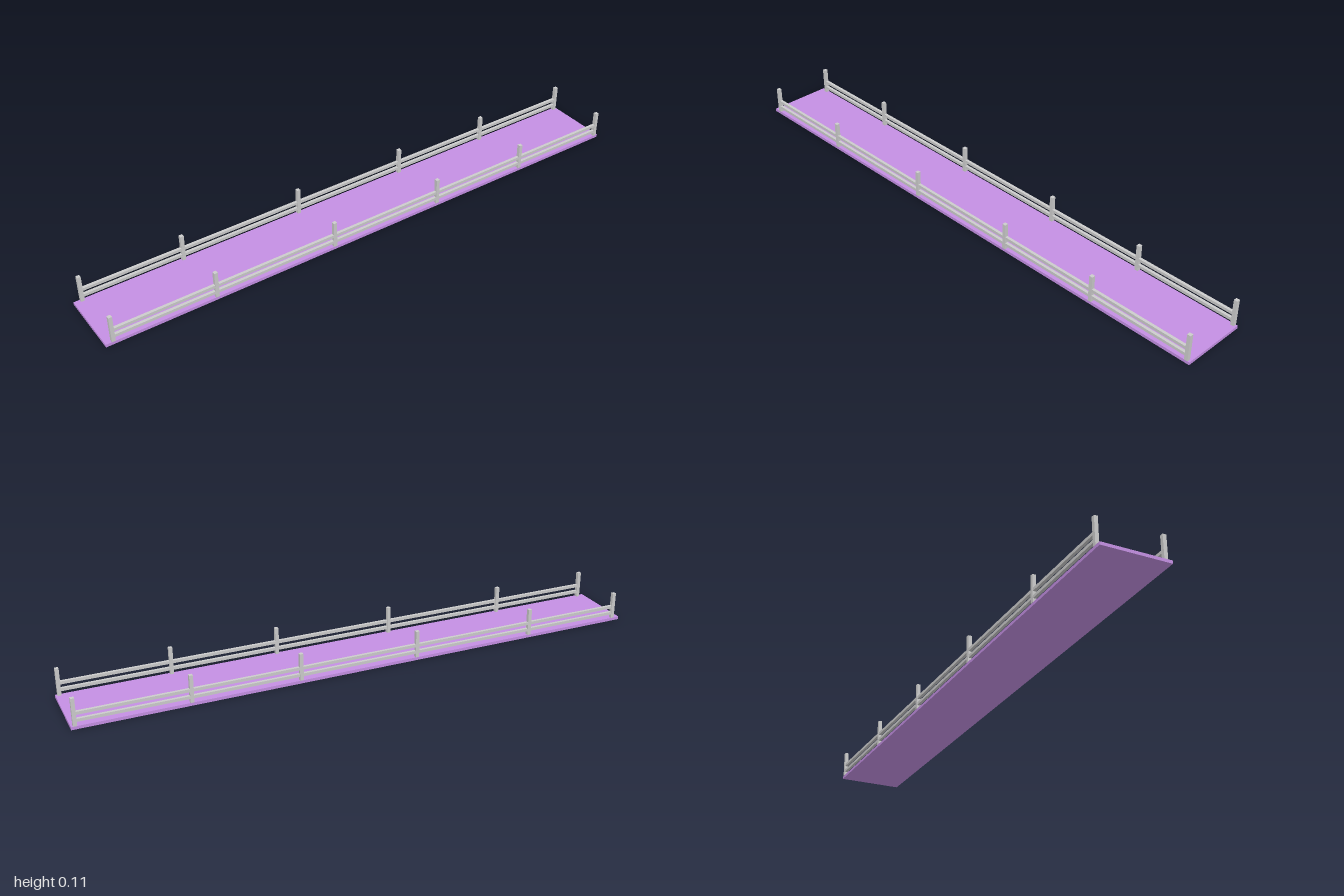
import * as THREE from 'three';

const HEADING = -0.2265;      // the bridge lies askew to the axes
const LENGTH = 2.0, WIDTH = 0.233, DECK = 0.0105;
const POST = 0.0125, POST_TOP = 0.1055;
const SIDE = 0.1108;          // distance of the railings from the centre line
const POSTS = [-0.973, -0.618, -0.176, 0.246, 0.617, 0.987];
const RAILS = [0.0295, 0.0535];

export function createModel() {
  const model = new THREE.Group();
  model.name = 'footbridge';
  const grey = new THREE.MeshStandardMaterial({ color: 0xcccccc });
  const purple = new THREE.MeshStandardMaterial({ color: 0xc48fe3 });

  const box = (parent, name, material, size, position) => {
    const mesh = new THREE.Mesh(new THREE.BoxGeometry(...size), material);
    mesh.name = name;
    mesh.position.set(...position);
    parent.add(mesh);
  };

  const bridge = new THREE.Group();
  bridge.name = 'bridge';
  bridge.rotation.y = HEADING;
  model.add(bridge);

  // Walkway
  box(bridge, 'deck', purple, [LENGTH, DECK, WIDTH], [0, DECK / 2, 0]);

  // A railing along each edge: six posts joined by two rails
  const first = POSTS[0], last = POSTS[POSTS.length - 1];
  for (const side of [-1, 1]) {
    const railing = new THREE.Group();
    railing.name = side > 0 ? 'frontRailing' : 'backRailing';
    railing.position.z = side * SIDE;
    bridge.add(railing);

    const height = POST_TOP - DECK;
    for (const x of POSTS) box(railing, 'post', grey, [POST, height, POST], [x, DECK + height / 2, 0]);
    for (const y of RAILS) box(railing, 'rail', grey, [last - first, 0.0102, 0.0102], [(first + last) / 2, y, 0]);
  }
  return model;
}
